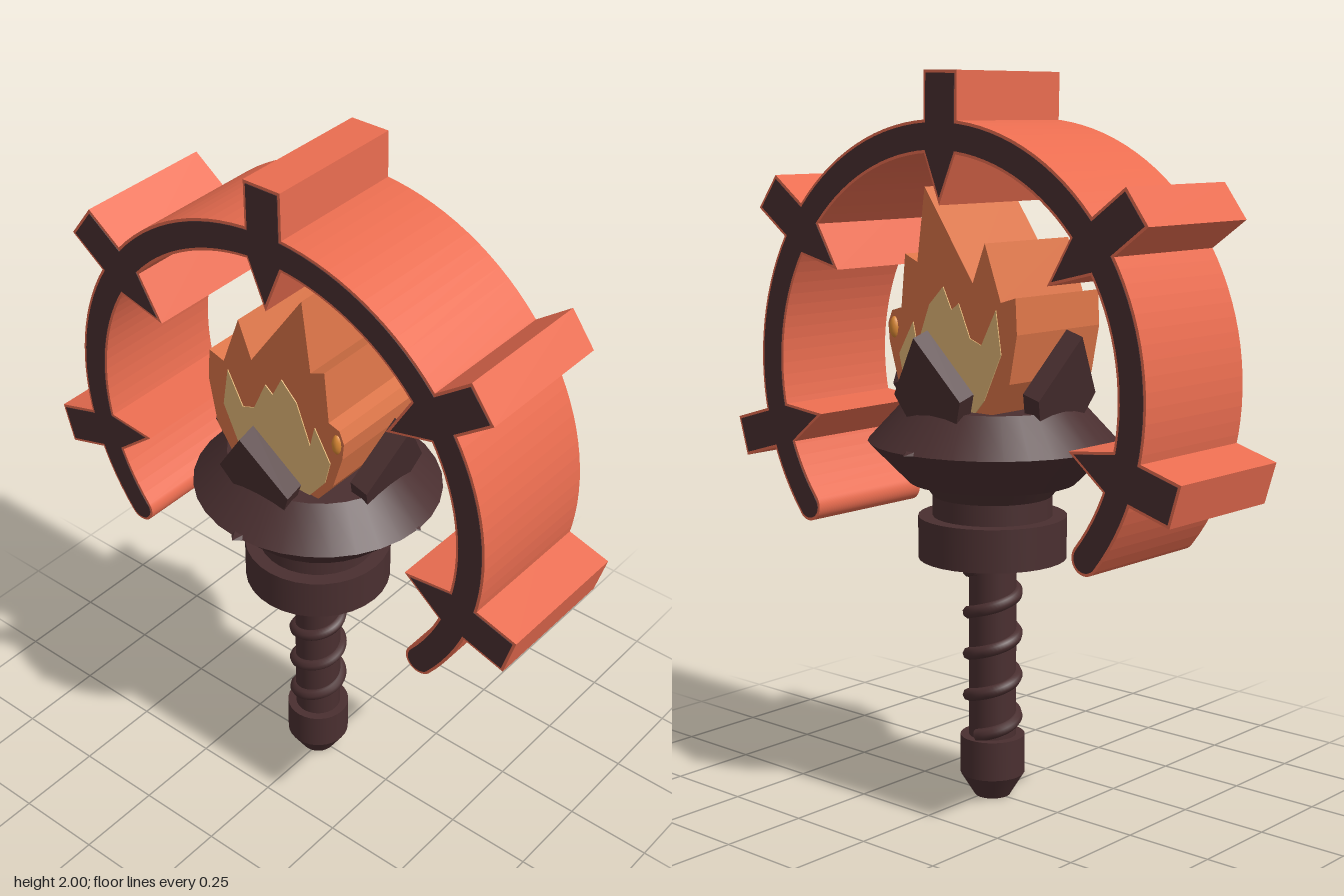
import * as THREE from 'three';

const mat = (color) => new THREE.MeshStandardMaterial({ color });
const ORANGE = mat(0xea6d50), DARK = mat(0x4a2f30), FLAME = mat(0xdc7548), GLOW = mat(0xe4b878), EMBER = mat(0xdd8a35);
const flatDark = DARK.clone();
flatDark.flatShading = true;

const RING_Y = 1.19, HALF = 0.206, AXIS_Z = -0.013;

function add(parent, name, geometry, material) {
  const m = new THREE.Mesh(geometry, material);
  m.name = name;
  parent.add(m);
  return m;
}

// Profile drawn in (z, y), extruded symmetrically across x
function slab(shape, halfWidth) {
  const g = new THREE.ExtrudeGeometry(shape, { depth: halfWidth * 2, bevelEnabled: false, curveSegments: 40 });
  g.translate(0, 0, -halfWidth);
  g.rotateY(-Math.PI / 2);
  return g;
}
const poly = (pts) => new THREE.Shape(pts.map(([x, y]) => new THREE.Vector2(x, y)));

// Open ring band with rounded ends
function arcShape(inset) {
  const r = 0.643, h = 0.043 - inset, a = -0.675, b = Math.PI + 0.675;
  const s = new THREE.Shape();
  s.absarc(0, 0, r + h, a, b, false);
  s.absarc(r * Math.cos(b), r * Math.sin(b), h, b, b + Math.PI, false);
  s.absarc(0, 0, r - h, b, a, true);
  s.absarc(r * Math.cos(a), r * Math.sin(a), h, a + Math.PI, a + 2 * Math.PI, false);
  return s;
}

// Outer block and inward pointing barb, lying along +X
const blockShape = (i) => poly([[0.61, -0.058 + i], [0.811 - i, -0.058 + i], [0.811 - i, 0.058 - i], [0.61, 0.058 - i]]);
const barbShape = (i) => poly([[0.465 + i * 2.5, 0], [0.665 - i, -0.083 + i * 1.3], [0.665 - i, 0.083 - i * 1.3]]);

function buildRing() {
  const ring = new THREE.Group();
  ring.name = 'ring';
  ring.position.y = RING_Y;
  // orange body, then a slightly wider inset that forms the dark side faces
  for (const [label, inset, half, material] of [['Body', 0, HALF, ORANGE], ['SideInlay', 0.008, HALF + 0.002, DARK]]) {
    add(ring, 'band' + label, slab(arcShape(inset), half), material);
    for (const deg of [-16.5, 36.5, 91, 143.5, 196.5]) {
      for (const [part, shape] of [['block', blockShape(inset)], ['barb', barbShape(inset)]]) {
        const m = add(ring, part + label, slab(shape, half), material);
        m.rotation.x = -THREE.MathUtils.degToRad(deg);
      }
    }
  }
  return ring;
}

// Lathe with hard edges between the profile segments
function turned(parent, name, pts) {
  const g = new THREE.Group();
  g.name = name;
  for (let i = 0; i < pts.length - 1; i++) {
    const seg = [pts[i], pts[i + 1]].map(([r, y]) => new THREE.Vector2(r, y));
    add(g, name + 'Section', new THREE.LatheGeometry(seg, 32), DARK);
  }
  parent.add(g);
  return g;
}

function buildTorch() {
  const torch = new THREE.Group();
  torch.name = 'torch';
  torch.position.z = AXIS_Z;

  turned(torch, 'pommel', [[0, 0], [0.05, 0], [0.09, 0.065], [0.09, 0.175], [0.066, 0.175]]);
  turned(torch, 'shaft', [[0.066, 0.17], [0.066, 0.655], [0.085, 0.69]]);
  turned(torch, 'collar', [[0, 0.685], [0.205, 0.685], [0.205, 0.803], [0.15, 0.803]]);
  turned(torch, 'neck', [[0.165, 0.8], [0.165, 0.86], [0.195, 0.9]]);
  const bowl = turned(torch, 'bowl', [[0, 0.9], [0.235, 0.9], [0.347, 1.012], [0.25, 1.115], [0, 1.115]]);
  bowl.scale.x = 0.965;

  // Cord wound around the shaft
  const pts = [];
  const turns = 4;
  for (let i = 0; i <= turns * 16; i++) {
    const t = (i / 16) * Math.PI * 2;
    pts.push(new THREE.Vector3(0.066 * Math.cos(t), 0.185 + 0.475 * i / (turns * 16), -0.066 * Math.sin(t)));
  }
  add(torch, 'windingCord', new THREE.TubeGeometry(new THREE.CatmullRomCurve3(pts), 200, 0.018, 8), DARK);

  // Four leaning pointed plates and small rim studs
  const plate = poly([[-0.08, -0.03], [0.08, -0.03], [0.118, 0.055], [0, 0.225], [-0.118, 0.055]]);
  for (let k = 0; k < 4; k++) {
    const arm = new THREE.Group();
    arm.name = 'rimArm';
    arm.rotation.y = k * Math.PI / 2;
    const p = add(arm, 'pointedPlate', slab(plate, 0.028), flatDark);
    p.position.set(0.22, 1.11, 0);
    p.rotation.z = -0.29;
    const stud = add(arm, 'rimStud', new THREE.ConeGeometry(0.04, 0.04, 6), flatDark);
    stud.rotation.z = -Math.PI / 2;
    stud.scale.x = 0.4;
    stud.position.set(k % 2 ? 0.335 : 0.332, 1.012, 0);
    torch.add(arm);
  }
  return torch;
}

function buildFire() {
  const fire = new THREE.Group();
  fire.name = 'fire';
  const outer = poly([[0.12, 1.1], [0.18, 1.18], [0.21, 1.28], [0.215, 1.33], [0.2, 1.365], [0.165, 1.375], [0.15, 1.52],
    [0.105, 1.5], [0.077, 1.7], [-0.093, 1.455], [-0.135, 1.56], [-0.19, 1.41], [-0.24, 1.425], [-0.245, 1.33],
    [-0.22, 1.2], [-0.15, 1.1]]);
  const inner = poly([[0.1, 1.11], [0.155, 1.18], [0.172, 1.25], [0.12, 1.34], [0.105, 1.275], [0.06, 1.39], [0.01, 1.44],
    [-0.02, 1.38], [-0.045, 1.4], [-0.085, 1.31], [-0.125, 1.295], [-0.175, 1.39], [-0.193, 1.275], [-0.135, 1.15],
    [-0.1, 1.11]]);
  add(fire, 'outerFlame', slab(outer, 0.17), FLAME);
  add(fire, 'innerFlame', slab(inner, 0.173), GLOW);
  for (const s of [-1, 1]) {
    const e = add(fire, 'ember', new THREE.SphereGeometry(0.03, 12, 8), EMBER);
    e.scale.set(0.5, 1, 0.5);
    e.position.set(s * 0.168, 1.32, 0.192);
  }
  return fire;
}

export function createModel() {
  const model = new THREE.Group();
  model.name = 'ringedTorch';
  model.add(buildRing(), buildTorch(), buildFire());
  return model;
}
